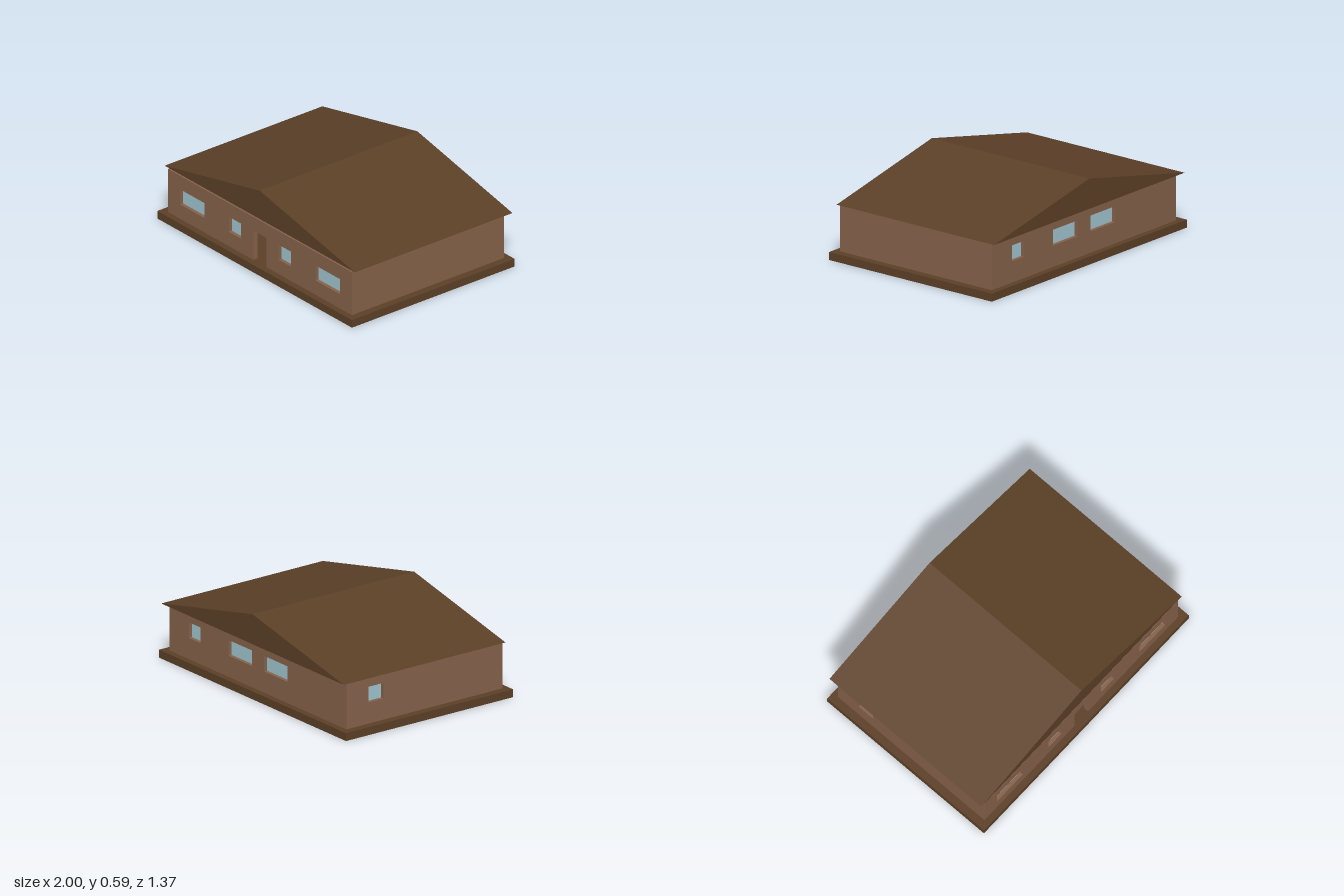
import * as THREE from 'three';

const T = 0.035;                 // wall thickness
const FLOOR = 0.055, TOP = 0.37; // wall bottom and top

const mat = (color) => new THREE.MeshStandardMaterial({ color });

export function createModel() {
  const house = new THREE.Group();
  house.name = 'house';
  const brown = mat(0x5c4027), brick = mat(0x86624a), plaster = mat(0xb8917a), glass = mat(0xa0c6d0);

  const add = (parent, name, geometry, material, x = 0, y = 0, z = 0) => {
    const mesh = new THREE.Mesh(geometry, material);
    mesh.name = name;
    mesh.position.set(x, y, z);
    parent.add(mesh);
    return mesh;
  };

  // One wall panel, outer face at local z = 0, with glazed windows [x0, x1] and an optional doorway
  function wall(name, length, distance, angle, windows = [], sill = 0.16, head = 0.27, door = 0) {
    const group = new THREE.Group();
    group.name = name;
    const h = length / 2;
    const outline = [[-h, FLOOR]];
    if (door) outline.push([-door, FLOOR], [-door, 0.27], [door, 0.27], [door, FLOOR]);
    outline.push([h, FLOOR], [h, TOP], [-h, TOP]);
    const shape = new THREE.Shape(outline.map(([x, y]) => new THREE.Vector2(x, y)));
    for (const [a, b] of windows) {
      const corners = [[a, sill], [a, head], [b, head], [b, sill]];
      shape.holes.push(new THREE.Path(corners.map(([x, y]) => new THREE.Vector2(x, y))));
      add(group, 'windowPane', new THREE.BoxGeometry(b - a, head - sill, 0.008), glass,
        (a + b) / 2, (sill + head) / 2, -0.029);
    }
    const panel = new THREE.ExtrudeGeometry(shape, { depth: T, bevelEnabled: false });
    add(group, name + 'Panel', panel, brick, 0, 0, -T);
    group.rotation.y = angle;
    group.position.set(Math.sin(angle) * distance, 0, Math.cos(angle) * distance);
    house.add(group);
  }

  // Foundation slab, also the floor inside
  add(house, 'foundation', new THREE.BoxGeometry(2, FLOOR, 1.37), brown, 0, FLOOR / 2, 0);

  // Walls: window positions run left to right as seen from outside
  const sideLength = 1.28 - 2 * T;
  wall('frontWall', 1.89, 0.64, 0,
    [[-0.82, -0.57], [-0.32, -0.193], [0.193, 0.32], [0.57, 0.82]], 0.16, 0.27, 0.067);
  wall('backWall', 1.89, 0.64, Math.PI,
    [[-0.74, -0.615], [-0.317, -0.065], [0.065, 0.317]], 0.202, 0.31);
  wall('rightSideWall', sideLength, 0.945, -Math.PI / 2, [[-0.46, -0.335]], 0.202, 0.31);
  wall('leftSideWall', sideLength, 0.945, Math.PI / 2);

  // Ceiling slab between the walls, filling the gap below the roof
  add(house, 'ceiling', new THREE.BoxGeometry(1.82, 0.02, 1.21), plaster, 0, 0.372, 0);

  // Gabled roof, flush at the front and overhanging at the back
  const gable = new THREE.Shape([
    new THREE.Vector2(-0.977, 0.382), new THREE.Vector2(0.977, 0.382), new THREE.Vector2(0, 0.59),
  ]);
  add(house, 'roof', new THREE.ExtrudeGeometry(gable, { depth: 1.327, bevelEnabled: false }), brown, 0, 0, -0.685);

  return house;
}
